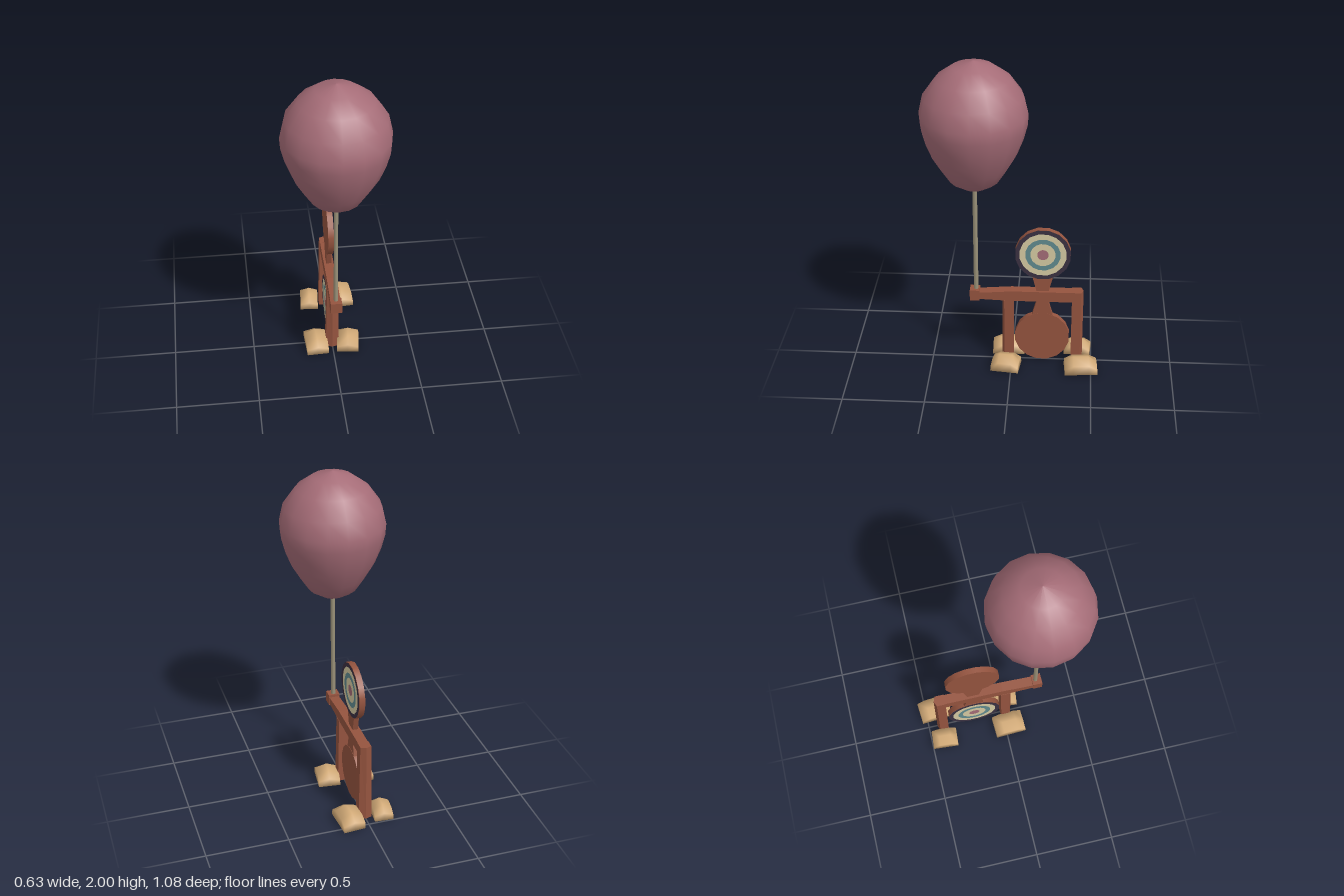
import * as THREE from 'three';
import { mergeVertices } from 'three/addons/utils/BufferGeometryUtils.js';

const material = (name, color) => {
  const m = new THREE.MeshStandardMaterial({ color });
  m.name = name;
  return m;
};

export function createModel() {
  const model = new THREE.Group();
  model.name = 'balloonTargetStand';

  const wood = material('wood', 0x95543f);
  const stone = material('stone', 0xd3ab78);
  const rubber = material('balloonRose', 0xa56c77);
  const cord = material('cord', 0x9c937a);
  const dark = material('darkRing', 0x3b3142);
  const cream = material('creamRing', 0xd6cba3);
  const teal = material('tealRing', 0x618b8f);

  const add = (name, geometry, mat, parent = model) => {
    const mesh = new THREE.Mesh(geometry, mat);
    mesh.name = name;
    parent.add(mesh);
    return mesh;
  };

  // Side profile given as [z, y], extruded across x and centred on x = 0
  const sideProfile = (points, width) => {
    const shape = new THREE.Shape(points.map(([z, y]) => new THREE.Vector2(-z, y)));
    const g = new THREE.ExtrudeGeometry(shape, { depth: width, bevelEnabled: false });
    return g.translate(0, 0, -width / 2).rotateY(Math.PI / 2);
  };

  // Balloon
  const balloonProfile = [
    [0, 1.2], [0.075, 1.213], [0.148, 1.26], [0.2, 1.34], [0.253, 1.43], [0.29, 1.525],
    [0.312, 1.61], [0.317, 1.68], [0.292, 1.79], [0.217, 1.895], [0.12, 1.965], [0, 2],
  ].map(([r, y]) => new THREE.Vector2(r, y));
  add('balloon', new THREE.LatheGeometry(balloonProfile, 16), rubber).position.z = 0.22;

  // String
  add('string', new THREE.CylinderGeometry(0.014, 0.014, 0.76, 6), cord).position.set(0, 0.84, 0.22);

  // Beam with its tapering nose and end block
  add('beam', sideProfile([[0.22, 0.45], [0.02, 0.442], [-0.43, 0.442], [-0.43, 0.51], [0, 0.51], [0.22, 0.492]], 0.062), wood);
  add('beamEndBlock', new THREE.BoxGeometry(0.07, 0.07, 0.06), wood).position.set(0, 0.475, 0.228);

  // Posts: five-sided, ridged on the outer face, narrower at the top
  const post = (name, z, height, out) => {
    const corners = [[-0.042, 0.035], [0.042, 0.035], [0.042, -0.022], [0, -0.036], [-0.042, -0.022]];
    const shape = new THREE.Shape(corners.map(([x, y]) => new THREE.Vector2(x, y)));
    const g = new THREE.ExtrudeGeometry(shape, { depth: height, bevelEnabled: false }).rotateX(-Math.PI / 2);
    const p = g.attributes.position;
    for (let i = 0; i < p.count; i++) p.setX(i, p.getX(i) * (1 - 0.2 * p.getY(i) / height));
    g.computeVertexNormals();
    const mesh = add(name, g, wood);
    mesh.position.z = z;
    if (out < 0) mesh.rotation.y = Math.PI;
  };
  post('frontPost', 0.023, 0.445, 1);
  post('rearPost', -0.407, 0.512, -1);

  // Paddles: a disc with a flared neck, one face painted with rings
  const rings = [
    [0.144, 0.171, dark], [0.108, 0.144, cream], [0.077, 0.108, teal],
    [0.035, 0.077, cream], [0, 0.035, rubber],
  ];
  const paddle = (name, y, side, neck) => {
    const group = new THREE.Group();
    group.name = name;
    model.add(group);
    const disc = new THREE.CylinderGeometry(0.171, 0.171, 0.036, 16);
    disc.rotateY(Math.PI / 16).rotateZ(Math.PI / 2);
    add('disc', disc, wood, group).position.set(0, y, -0.19);
    add('neck', sideProfile(neck, 0.032), wood, group);
    for (const [inner, outer, mat] of rings) {
      const g = inner > 0
        ? new THREE.RingGeometry(inner, outer, 16, 1, Math.PI / 16)
        : new THREE.CircleGeometry(outer, 16, Math.PI / 16);
      g.rotateY(side * Math.PI / 2);
      add('targetRing', g, mat, group).position.set(side * 0.0205, y, -0.19);
    }
  };
  paddle('upperTarget', 0.767, 1, [[-0.16, 0.48], [-0.22, 0.48], [-0.258, 0.63], [-0.122, 0.63]]);
  paddle('lowerTarget', 0.18, -1, [[-0.122, 0.32], [-0.258, 0.32], [-0.218, 0.46], [-0.162, 0.46]]);

  // Stones: soft loaf shapes with a ridge and lowered ends
  const stoneFoot = (name, x, z, width, length, height, turn) => {
    const g0 = new THREE.BoxGeometry(1, 1, 1, 2, 1, 3);
    g0.deleteAttribute('normal');
    g0.deleteAttribute('uv');
    const g = mergeVertices(g0);
    const p = g.attributes.position;
    for (let i = 0; i < p.count; i++) {
      const px = p.getX(i), pz = p.getZ(i), top = p.getY(i) > 0;
      const end = Math.abs(pz) > 0.4, edge = Math.abs(px) > 0.4;
      const h = (edge ? 0.7 : 1) * (end ? 0.6 : 1);
      const sz = end ? (top ? 0.97 : 1) : 1.4;
      p.setXYZ(i, px * width, top ? h * height : 0.003, pz * length * sz);
    }
    g.computeVertexNormals();
    const mesh = add(name, g, stone);
    mesh.position.set(x, 0, z);
    mesh.rotation.y = turn;
  };
  stoneFoot('rearLeftStone', 0.107, -0.437, 0.136, 0.205, 0.095, 0.075);
  stoneFoot('rearRightStone', -0.105, -0.413, 0.114, 0.166, 0.088, -0.07);
  stoneFoot('frontLeftStone', 0.1, 0.032, 0.136, 0.175, 0.09, -0.12);
  stoneFoot('frontRightStone', -0.103, 0.025, 0.136, 0.2, 0.09, 0.04);

  return model;
}
